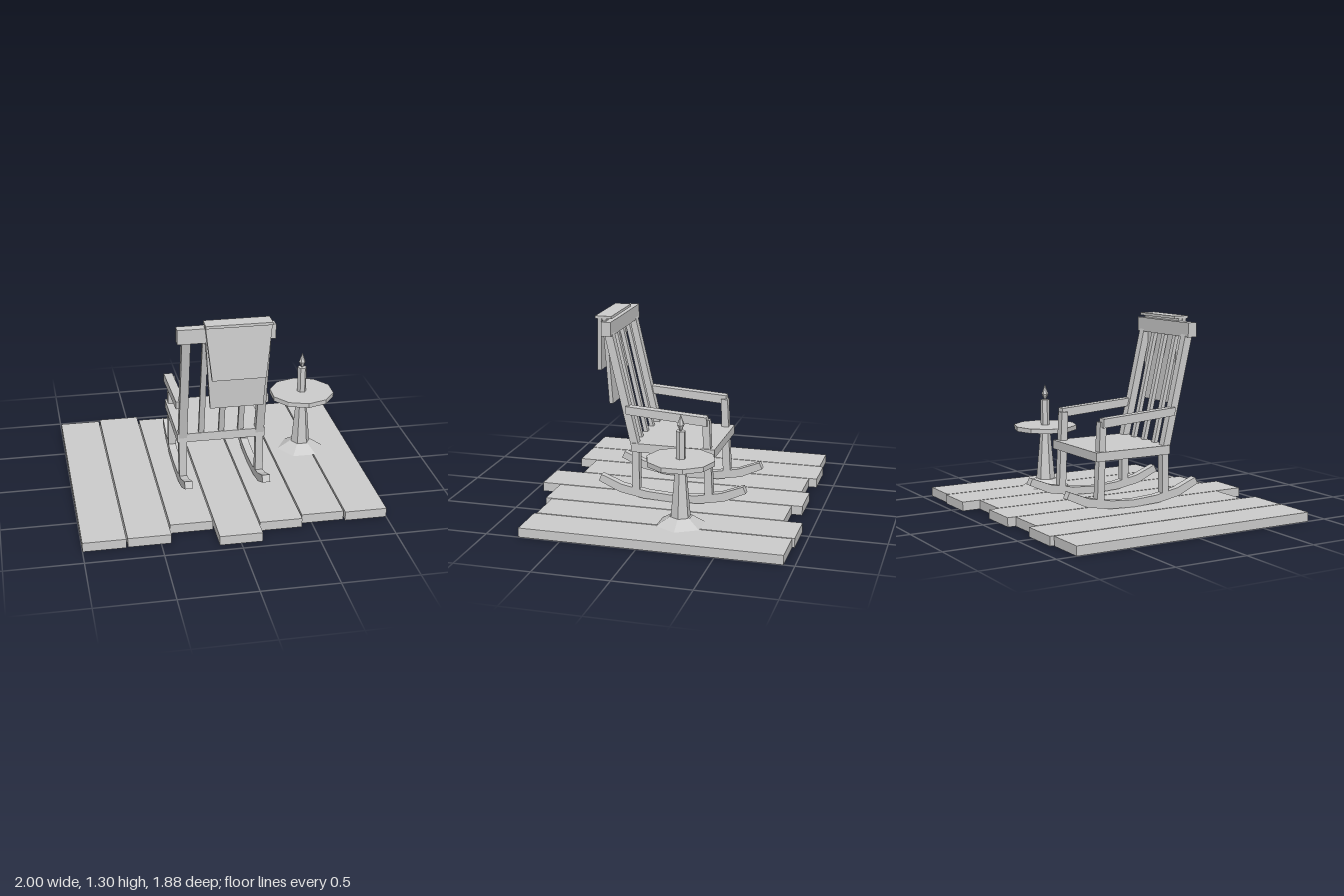
import * as THREE from 'three';

export function createModel() {
  const root = new THREE.Group();
  root.name = 'porchScene';
  const grey = new THREE.MeshStandardMaterial({ color: 0xcccccc });
  grey.name = 'plainGrey';
  grey.flatShading = true;

  const add = (parent, name, geo, x = 0, y = 0, z = 0) => {
    const mesh = new THREE.Mesh(geo, grey);
    mesh.name = name;
    mesh.position.set(x, y, z);
    parent.add(mesh);
    return mesh;
  };
  // Box given by its limits on each axis
  const box = (parent, name, [x0, x1], [y0, y1], [z0, z1]) =>
    add(parent, name, new THREE.BoxGeometry(x1 - x0, y1 - y0, z1 - z0),
      (x0 + x1) / 2, (y0 + y1) / 2, (z0 + z1) / 2);
  // Side profile of [z, y] points, extruded across x
  const profile = (parent, name, points, x, width) => {
    const shape = new THREE.Shape(points.map(([z, y]) => new THREE.Vector2(-z, y)));
    const geo = new THREE.ExtrudeGeometry(shape, { depth: width, bevelEnabled: false });
    geo.translate(0, 0, -width / 2);
    geo.rotateY(Math.PI / 2);
    return add(parent, name, geo, x);
  };

  // Floor planks of uneven length
  const floor = new THREE.Group();
  floor.name = 'floor';
  root.add(floor);
  [[-0.865, 0.865], [-0.89, 0.86], [-0.835, 0.74], [-0.89, 0.94],
    [-0.82, 0.81], [-0.945, 0.765], [-0.93, 0.78]].forEach((zs, i) => {
    const x = -1 + i * 0.287;
    box(floor, 'plank', [x, x + 0.278], [0, 0.062], zs);
  });

  // Rocking chair
  const chair = new THREE.Group();
  chair.name = 'rockingChair';
  root.add(chair);
  box(chair, 'seat', [-0.298, 0.295], [0.395, 0.455], [-0.325, 0.247]);
  const rocker = [
    [0.48, 0.168], [0.33, 0.1], [0.165, 0.07], [-0.03, 0.062], [-0.225, 0.07], [-0.39, 0.1], [-0.537, 0.168],
    [-0.517, 0.213], [-0.37, 0.155], [-0.2, 0.122], [-0.03, 0.111], [0.14, 0.122], [0.315, 0.155], [0.46, 0.213],
  ];
  for (const s of [-1, 1]) {
    const x = s * 0.26;
    profile(chair, 'rocker', rocker, x, 0.052);
    box(chair, 'rearLeg', [x - 0.026, x + 0.026], [0.1, 0.42], [0.193, 0.243]);
    profile(chair, 'armPost', [[-0.26, 0.1], [-0.312, 0.1], [-0.287, 0.65], [-0.24, 0.65]], x, 0.052);
    profile(chair, 'armRest', [[0.28, 0.71], [0.275, 0.655], [-0.277, 0.614], [-0.272, 0.674]], s * 0.28, 0.06);
    profile(chair, 'backPost', [[0.247, 0.425], [0.193, 0.425], [0.372, 1.2], [0.427, 1.2]], x, 0.056);
  }
  for (const x of [-0.135, 0, 0.13]) {
    profile(chair, 'backSlat', [[0.235, 0.43], [0.207, 0.43], [0.385, 1.2], [0.413, 1.2]], x, 0.037);
  }
  box(chair, 'headRail', [-0.32, 0.315], [1.175, 1.272], [0.37, 0.437]);

  // Blanket folded over the head rail, each flap narrowing downward
  const blanket = new THREE.Group();
  blanket.name = 'blanket';
  chair.add(blanket);
  box(blanket, 'blanketTop', [-0.145, 0.285], [1.287, 1.305], [0.375, 0.485]);
  const flap = (name, yTop, yBottom, zTop, zBottom, thickness) => {
    const h = yTop - yBottom;
    const geo = new THREE.BoxGeometry(0.43, h, thickness);
    const p = geo.attributes.position;
    for (let i = 0; i < p.count; i++) {
      const low = p.getY(i) < 0;
      if (low) p.setX(i, p.getX(i) * 0.815);
      p.setZ(i, p.getZ(i) + (low ? zBottom : zTop));
    }
    geo.computeVertexNormals();
    add(blanket, name, geo, 0.07, yBottom + h / 2, 0);
  };
  flap('outerFlap', 1.29, 0.93, 0.455, 0.474, 0.027);
  flap('innerFlap', 1.29, 0.705, 0.424, 0.396, 0.027);

  // Side table with candle
  const table = new THREE.Group();
  table.name = 'sideTable';
  table.position.set(0.655, 0, -0.195);
  root.add(table);
  const prism = (name, rTop, rBottom, y0, y1, sides, turn) => {
    const geo = new THREE.CylinderGeometry(rTop, rBottom, y1 - y0, sides);
    geo.rotateY(turn);
    add(table, name, geo, 0, (y0 + y1) / 2, 0);
  };
  const q = Math.PI / 2;
  prism('foot', 0.078, 0.163, 0.062, 0.115, 6, q);
  prism('pedestal', 0.034, 0.066, 0.115, 0.475, 6, q);
  prism('tableTop', 0.224, 0.224, 0.47, 0.502, 10, 0);
  prism('candle', 0.032, 0.032, 0.502, 0.683, 6, q);
  prism('flameBase', 0.024, 0.006, 0.683, 0.722, 6, q);
  prism('flameTip', 0, 0.024, 0.722, 0.793, 6, q);

  return root;
}
